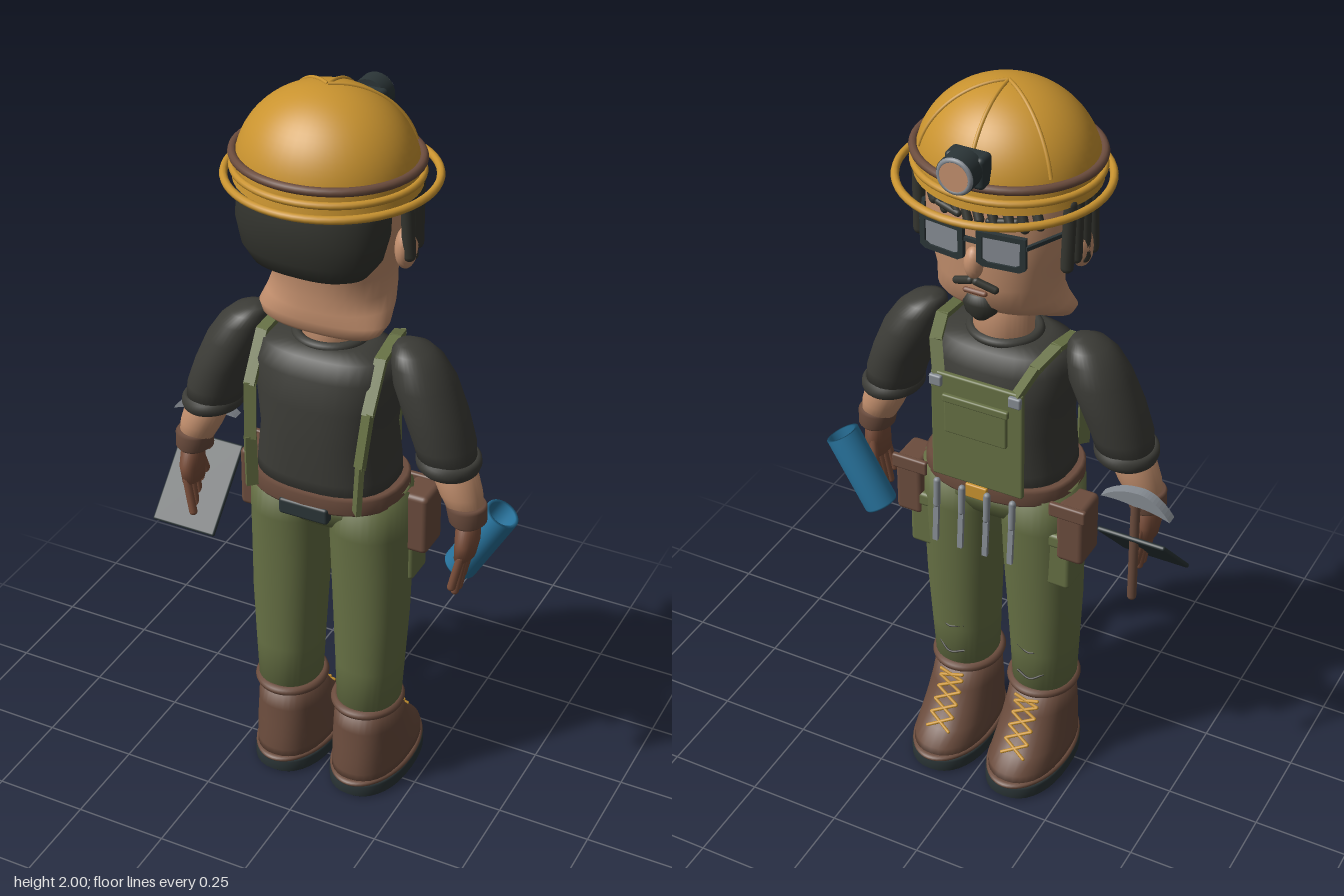
import * as THREE from 'three';
import { RoundedBoxGeometry } from 'three/addons/geometries/RoundedBoxGeometry.js';

const mat = (name, color) => {
  const m = new THREE.MeshStandardMaterial({ color, side: THREE.DoubleSide });
  m.name = name;
  return m;
};

export function createModel() {
  const root = new THREE.Group();
  root.name = 'worker';
  const gold = mat('helmet gold', 0xc9932f), skin = mat('skin', 0xc4906e), hair = mat('dark hair', 0x34352f);
  const shirt = mat('charcoal shirt', 0x3c3c37), green = mat('olive cloth', 0x667044), brown = mat('brown leather', 0x6b4c3d);
  const slate = mat('slate', 0x2b3537), blue = mat('blue', 0x28749e), steel = mat('steel', 0x858b92);
  const glove = mat('hand brown', 0x7a4e3a);
  const V = (x, y, z) => new THREE.Vector3(x, y, z);

  const add = (name, geo, m, x = 0, y = 0, z = 0) => {
    const mesh = new THREE.Mesh(geo, m);
    mesh.name = name;
    mesh.position.set(x, y, z);
    root.add(mesh);
    return mesh;
  };
  const box = (name, m, w, h, d, x, y, z, r = 0) =>
    add(name, r ? new RoundedBoxGeometry(w, h, d, 3, r) : new THREE.BoxGeometry(w, h, d), m, x, y, z);
  const tube = (name, m, pts, r, n = 24) =>
    add(name, new THREE.TubeGeometry(new THREE.CatmullRomCurve3(pts), n, r, 8), m);
  // flat bar between two points
  const bar = (name, m, a, b, w, t) => {
    const o = add(name, new THREE.BoxGeometry(w, t, a.distanceTo(b) + t * 0.5), m);
    o.position.copy(a).lerp(b, 0.5);
    o.lookAt(b);
    return o;
  };
  // rounded limb between two points
  const capsule = (name, m, a, b, r) => {
    const o = add(name, new THREE.CapsuleGeometry(r, a.distanceTo(b), 5, 12), m);
    o.position.copy(a).lerp(b, 0.5);
    o.quaternion.setFromUnitVectors(V(0, 1, 0), b.clone().sub(a).normalize());
    return o;
  };
  // smooth skin over horizontal rings [y, cx, cz, rx, rz], listed upwards
  const loft = (name, m, rings, e = 2, n = 36) => {
    const pos = [], idx = [];
    const last = rings[rings.length - 1];
    const all = [[...rings[0].slice(0, 3), 0, 0], ...rings, [...last.slice(0, 3), 0, 0]];
    all.forEach(([y, cx, cz, rx, rz], i) => {
      for (let j = 0; j < n; j++) {
        const a = j / n * Math.PI * 2, c = Math.cos(a), s = Math.sin(a);
        pos.push(cx + rx * Math.sign(c) * Math.abs(c) ** (2 / e), y, cz + rz * Math.sign(s) * Math.abs(s) ** (2 / e));
        if (i < all.length - 1) {
          const p = i * n + j, q = i * n + (j + 1) % n;
          idx.push(p, p + n, q, q, p + n, q + n);
        }
      }
    });
    const g = new THREE.BufferGeometry();
    g.setAttribute('position', new THREE.Float32BufferAttribute(pos, 3));
    g.setIndex(idx);
    g.computeVertexNormals();
    return add(name, g, m);
  };
  // horizontal ring, stretched to rx by rz
  const hoop = (name, m, rx, rz, r, x, y, z) => {
    const g = new THREE.TorusGeometry(1, r / rx, 10, 56).rotateX(Math.PI / 2).scale(rx, rx, rz);
    return add(name, g, m, x, y, z);
  };

  // helmet: dome, bands, open brim, ridges and lamp
  add('helmetDome', new THREE.SphereGeometry(1, 48, 20, 0, Math.PI * 2, 0, Math.PI / 2).scale(0.222, 0.205, 0.203), gold, 0, 1.79, 0.022);
  add('helmetSkirt', new THREE.CylinderGeometry(1, 1.02, 0.025, 48, 1, true).scale(0.222, 1, 0.203), gold, 0, 1.778, 0.022);
  hoop('helmetBand', brown, 0.225, 0.205, 0.011, 0, 1.828, 0.022);
  hoop('helmetLowerRing', gold, 0.226, 0.207, 0.009, 0, 1.795, 0.022);
  hoop('helmetBrim', gold, 0.253, 0.25, 0.01, 0, 1.77, 0);
  for (const az of [-0.9, 0, 0.9]) {
    const pts = [];
    for (let i = 0; i <= 8; i++) {
      const t = i / 8 * 1.3;
      pts.push(V(Math.sin(az) * Math.sin(t) * 0.223, 1.79 + 0.206 * Math.cos(t), 0.022 - Math.cos(az) * Math.sin(t) * 0.204));
    }
    tube('helmetRidge', gold, pts, 0.005);
  }
  box('lampMount', slate, 0.1, 0.08, 0.05, 0, 1.87, -0.175, 0.012);
  add('lampBody', new THREE.CylinderGeometry(0.047, 0.047, 0.05, 28).rotateX(Math.PI / 2), slate, 0, 1.878, -0.213);
  add('lampRim', new THREE.TorusGeometry(0.039, 0.007, 8, 28), steel, 0, 1.878, -0.238);
  add('lampLens', new THREE.CylinderGeometry(0.036, 0.036, 0.008, 28).rotateX(Math.PI / 2), skin, 0, 1.878, -0.24);

  // head and neck
  loft('neck', skin, [[1.3, 0, 0, 0.075, 0.07], [1.45, 0, -0.005, 0.078, 0.07]]);
  loft('head', skin, [
    [1.385, 0, 0.06, 0.13, 0.035], [1.4, 0, 0.055, 0.155, 0.055], [1.425, 0, 0.042, 0.17, 0.073],
    [1.455, 0, 0.005, 0.162, 0.11], [1.49, 0, -0.015, 0.153, 0.128], [1.54, 0, -0.015, 0.153, 0.132],
    [1.6, 0, -0.012, 0.17, 0.14], [1.68, 0, -0.005, 0.185, 0.148], [1.76, 0, 0.005, 0.19, 0.155], [1.81, 0, 0.01, 0.18, 0.15]], 2.2);
  add('nose', new THREE.SphereGeometry(1, 16, 12).scale(0.024, 0.042, 0.026), skin, 0, 1.61, -0.152);
  add('mouth', new THREE.CapsuleGeometry(0.007, 0.05, 4, 8).rotateZ(Math.PI / 2), glove, 0, 1.528, -0.148);
  loft('goatee', hair, [[1.442, 0, -0.118, 0.018, 0.018], [1.462, 0, -0.118, 0.04, 0.032],
    [1.49, 0, -0.118, 0.048, 0.036], [1.515, 0, -0.125, 0.034, 0.026]]);

  // hair: back mass and fringe
  loft('backHair', hair, [[1.56, 0, 0.115, 0.1, 0.04], [1.58, 0, 0.112, 0.145, 0.075], [1.62, 0, 0.105, 0.176, 0.1],
    [1.68, 0, 0.1, 0.19, 0.116], [1.74, 0, 0.095, 0.19, 0.12], [1.8, 0, 0.085, 0.186, 0.115]], 2.2);
  for (let i = -4; i <= 4; i++)
    capsule('fringeLock', hair, V(i * 0.034, 1.775, -0.147 + Math.abs(i) * 0.008),
      V(i * 0.034 - 0.02, 1.735 - (i & 1) * 0.012, -0.163 + Math.abs(i) * 0.009), 0.012);

  // glasses: frame with a hole and a thin lens on each side
  const rect = (P, w, h) => { const p = new P(); p.moveTo(-w, -h * 0.8); p.lineTo(-w * 0.75, -h); p.lineTo(w * 0.75, -h);
    p.lineTo(w, -h * 0.8); p.lineTo(w, h); p.lineTo(-w, h); p.closePath(); return p; };
  const frame = rect(THREE.Shape, 0.06, 0.045);
  frame.holes.push(rect(THREE.Path, 0.046, 0.032));
  box('glassesBridge', slate, 0.045, 0.01, 0.01, 0, 1.677, -0.165);

  // torso, bib and belt
  loft('shirtBody', shirt, [[0.94, 0, 0.01, 0.185, 0.14], [1.0, 0, 0.01, 0.18, 0.145], [1.1, 0, 0.012, 0.168, 0.143],
    [1.2, 0, 0.012, 0.178, 0.142], [1.28, 0, 0.012, 0.185, 0.13], [1.325, 0, 0.012, 0.17, 0.105], [1.345, 0, 0.01, 0.11, 0.08]], 2.5);
  hoop('collar', shirt, 0.085, 0.078, 0.013, 0, 1.345, 0.005);
  box('bib', green, 0.25, 0.31, 0.016, 0, 1.115, -0.141, 0.006);
  box('bibPocket', green, 0.17, 0.1, 0.012, 0, 1.155, -0.152, 0.005);
  box('bibPocketFlap', green, 0.18, 0.022, 0.014, 0, 1.205, -0.153, 0.005);
  loft('belt', brown, [[0.918, 0, 0.008, 0.198, 0.15], [0.925, 0, 0.008, 0.204, 0.154], [0.96, 0, 0.008, 0.204, 0.154], [0.968, 0, 0.008, 0.196, 0.15]], 2.4);
  box('backBeltPouch', slate, 0.135, 0.045, 0.03, 0, 0.912, 0.15, 0.008);
  box('beltBuckle', gold, 0.06, 0.04, 0.012, 0, 0.943, -0.15, 0.004);
  // hanging chisels
  for (let i = 0; i < 4; i++) {
    const x = -0.105 + i * 0.07;
    capsule('toolHandle', steel, V(x, 0.95, -0.162), V(x, 0.88, -0.166), 0.009);
    bar('toolBlade', steel, V(x, 0.88, -0.166), V(x, 0.775, -0.175), 0.014, 0.01);
  }
  loft('hips', green, [[0.83, 0, 0.0, 0.14, 0.09], [0.88, 0, 0, 0.2, 0.115], [0.94, 0, 0, 0.205, 0.12]], 2.4);

  for (const s of [-1, 1]) {
    // face details
    add('ear', new THREE.SphereGeometry(1, 16, 12).scale(0.026, 0.055, 0.038), skin, s * 0.198, 1.625, 0.01);
    capsule('moustache', hair, V(s * 0.008, 1.563, -0.157), V(s * 0.05, 1.545, -0.145), 0.01);
    capsule('eyebrow', hair, V(s * 0.04, 1.73, -0.153), V(s * 0.1, 1.735, -0.135), 0.009);
    for (const [i, z] of [0.035, 0.005, -0.025, -0.055].entries())
      capsule('sideLock', hair, V(s * (0.208 - i * 0.004), 1.765, z), V(s * (0.214 - i * 0.007), 1.615 - (i % 2) * 0.012, z - 0.006), 0.016);
    const f = add('glassesFrame', new THREE.ExtrudeGeometry(frame, { depth: 0.012, bevelEnabled: false }), slate, s * 0.077, 1.665, -0.168);
    const l = box('glassesLens', steel, 0.094, 0.066, 0.006, s * 0.077, 1.665, -0.16);
    f.rotation.y = l.rotation.y = -s * 0.12;
    bar('glassesTemple', slate, V(s * 0.136, 1.685, -0.155), V(s * 0.2, 1.685, -0.02), 0.008, 0.01);

    // braces over the shoulders
    const strap = [V(s * 0.105, 1.26, -0.143), V(s * 0.135, 1.325, -0.1), V(s * 0.155, 1.35, -0.03), V(s * 0.16, 1.335, 0.06),
      V(s * 0.16, 1.22, 0.128), V(s * 0.15, 1.08, 0.15), V(s * 0.145, 0.95, 0.155)];
    for (let i = 0; i < 6; i++) bar('braceStrap', green, strap[i], strap[i + 1], 0.03, 0.014);
    box('braceBuckle', steel, 0.034, 0.03, 0.014, s * 0.107, 1.25, -0.154, 0.005);

    // sleeve, cuff, forearm and wristband
    loft('sleeve', shirt, [[1.07, s * 0.325, 0.018, 0.07, 0.076], [1.13, s * 0.313, 0.017, 0.076, 0.083], [1.2, s * 0.288, 0.014, 0.077, 0.09],
      [1.28, s * 0.255, 0.01, 0.076, 0.088], [1.33, s * 0.235, 0.01, 0.063, 0.075], [1.358, s * 0.219, 0.01, 0.048, 0.056], [1.372, s * 0.205, 0.01, 0.026, 0.03]]);
    const cuff = hoop('sleeveCuff', shirt, 0.068, 0.073, 0.013, s * 0.326, 1.08, 0.018);
    cuff.scale.y = 1.6;
    cuff.rotation.z = -s * 0.12;
    loft('forearm', skin, [[0.94, s * 0.382, 0.025, 0.042, 0.04], [1.0, s * 0.362, 0.022, 0.055, 0.052], [1.1, s * 0.325, 0.018, 0.062, 0.058]]);
    loft('wristband', brown, [[0.918, s * 0.385, 0.025, 0.04, 0.045], [0.925, s * 0.385, 0.025, 0.047, 0.05],
      [0.965, s * 0.38, 0.025, 0.051, 0.053], [0.973, s * 0.38, 0.025, 0.046, 0.048]]);

    // hand with fingers
    loft('palm', glove, [[0.825, s * 0.385, 0.034, 0.024, 0.044], [0.87, s * 0.389, 0.032, 0.029, 0.046], [0.935, s * 0.387, 0.025, 0.03, 0.034]]);
    for (let i = 0; i < 4; i++)
      capsule('finger', glove, V(s * 0.387, 0.835, 0.068 - i * 0.022), V(s * 0.368, 0.745 - (i === 1 || i === 2 ? 0.025 : 0), 0.074 - i * 0.023), 0.011);
    capsule('thumb', glove, V(s * 0.385, 0.88, 0), V(s * 0.372, 0.8, -0.02), 0.012);

    // belt pouch and thigh pocket
    box('beltPouch', brown, 0.075, 0.17, 0.1, s * 0.228, 0.845, -0.045, 0.014);
    box('pouchFlap', brown, 0.1, 0.04, 0.016, s * 0.222, 0.915, -0.092, 0.006);
    box('thighPocket', green, 0.07, 0.16, 0.09, s * 0.193, 0.745, -0.045, 0.012);
    box('thighPocketFlap', green, 0.076, 0.04, 0.096, s * 0.193, 0.81, -0.045, 0.01);

    // trouser leg with creases
    loft('trouserLeg', green, [[0.25, s * 0.116, 0.012, 0.082, 0.09], [0.4, s * 0.117, 0.008, 0.089, 0.096], [0.55, s * 0.117, 0.004, 0.097, 0.1],
      [0.7, s * 0.114, 0.0, 0.102, 0.105], [0.82, s * 0.112, 0, 0.104, 0.11], [0.93, s * 0.109, 0, 0.104, 0.114]], 2.2);
    for (const y of [0.33, 0.42])
      tube('trouserCrease', shirt, [V(s * 0.08, y, -0.08), V(s * 0.12, y - 0.01, -0.088), V(s * 0.155, y + 0.008, -0.074)], 0.003, 10);

    // boot, sole and laces
    const bx = s * 0.113;
    hoop('bootCuff', brown, 0.084, 0.092, 0.013, bx, 0.266, 0.012);
    loft('boot', brown, [[0.04, bx, -0.047, 0.1, 0.172], [0.075, bx, -0.045, 0.098, 0.17], [0.11, bx, -0.028, 0.095, 0.148],
      [0.15, bx, -0.012, 0.092, 0.128], [0.2, bx, 0.002, 0.088, 0.106], [0.265, bx, 0.012, 0.082, 0.092]], 2.3);
    loft('sole', slate, [[0, bx, -0.048, 0.1, 0.172], [0.006, bx, -0.048, 0.106, 0.178], [0.036, bx, -0.048, 0.106, 0.178], [0.042, bx, -0.048, 0.102, 0.174]], 2.3);
    hoop('soleWelt', brown, 0.1, 0.172, 0.008, bx, 0.047, -0.047);
    const rows = [[0.11, -0.178], [0.14, -0.152], [0.17, -0.13], [0.2, -0.11], [0.23, -0.097]];
    rows.forEach(([y, z], i) => {
      const [y2, z2] = rows[i + 1] || [0.25, -0.093];
      for (const d of [-1, 1])
        capsule('lace', gold, V(bx - d * 0.032, y, z + 0.004), V(bx + d * 0.032, y2, z2 + 0.002), 0.0045);
    });
  }

  // tilted clipboard in the right hand
  const board = box('clipboard', slate, 0.182, 0.25, 0.012, -0.385, 0.793, 0.013, 0.005);
  board.rotation.x = -0.76;

  // pick hammer
  capsule('pickHandle', brown, V(-0.388, 0.69, -0.057), V(-0.388, 1.0, -0.057), 0.012);
  const pick = new THREE.Shape();
  pick.moveTo(-0.485, 0.965);
  pick.quadraticCurveTo(-0.44, 1.03, -0.388, 1.022);
  pick.quadraticCurveTo(-0.34, 1.02, -0.3, 0.985);
  pick.quadraticCurveTo(-0.35, 0.99, -0.388, 0.982);
  pick.quadraticCurveTo(-0.43, 0.985, -0.485, 0.965);
  add('pickHead', new THREE.ExtrudeGeometry(pick, { depth: 0.028, bevelEnabled: false }), steel, 0, 0, -0.071);

  // hollow blue roll in the left hand
  const profile = [[0, -0.11], [0.043, -0.11], [0.045, -0.105], [0.045, 0.11], [0.036, 0.11], [0.036, -0.08], [0, -0.08]];
  const roll = add('blueCanister', new THREE.CylinderGeometry(0.044, 0.044, 0.01, 32), blue, 0.39, 0.815, -0.053);
  roll.geometry = new THREE.LatheGeometry(profile.map(p => new THREE.Vector2(...p)), 36);
  roll.rotation.z = -0.52;

  return root;
}
